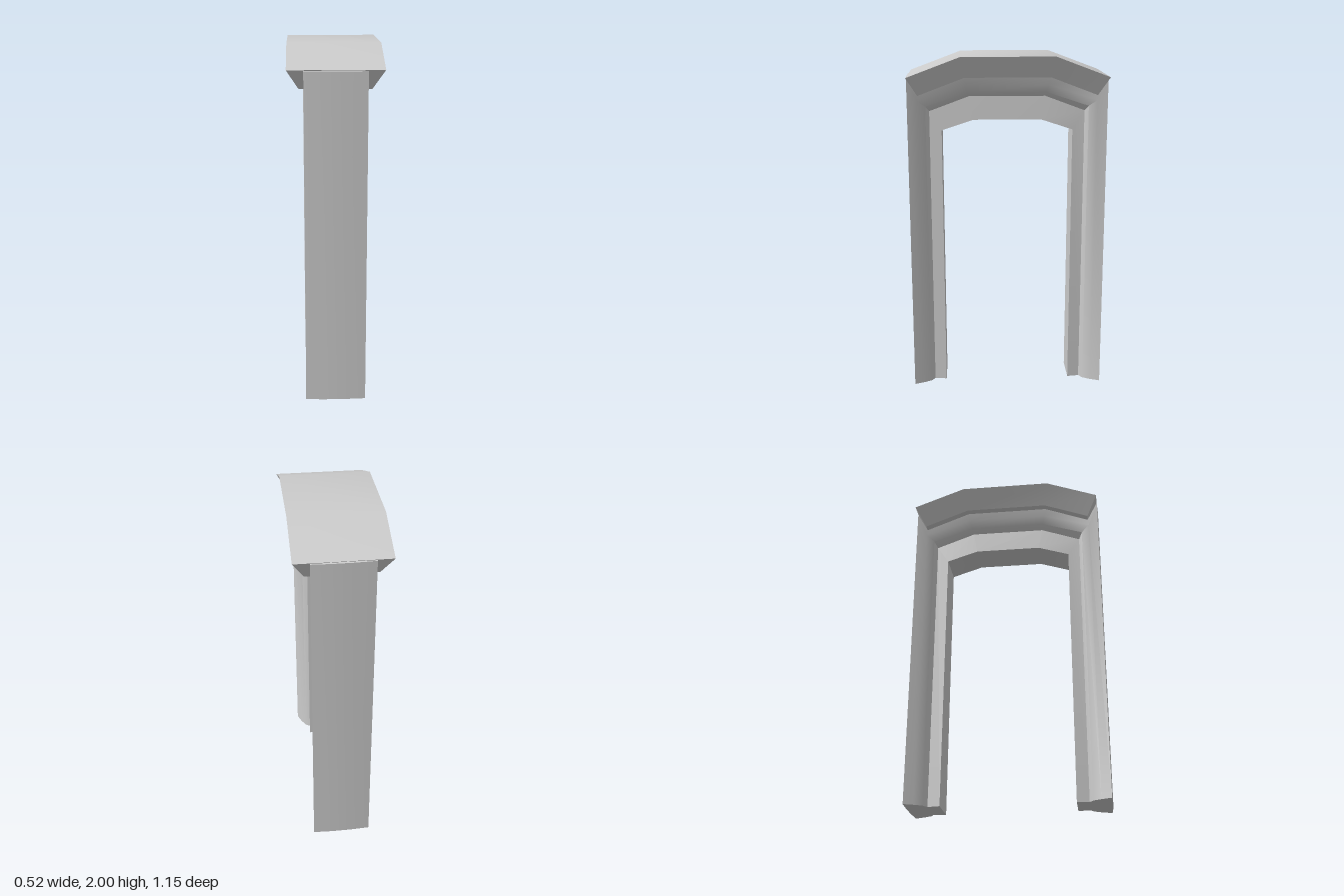
import * as THREE from 'three';
import { toCreasedNormals } from 'three/addons/utils/BufferGeometryUtils.js';

// Sweeps a section over the arch. Each row runs from the inside of the arch to
// its outside: [half width x, leg z, corner y, top z, top y].
function archSweep(rows, withLegs) {
  const ring = [...rows, ...rows.map((r) => [-r[0], ...r.slice(1)]).reverse()];
  const n = ring.length;
  const stations = [
    ([x, z, y]) => [x, y, z],
    ([x, , , z, y]) => [x, y, z],
    ([x, , , z, y]) => [x, y, -z],
    ([x, z, y]) => [x, y, -z],
  ];
  if (withLegs) {
    stations.unshift(([x, z]) => [x, 0, z]);
    stations.push(([x, z]) => [x, 0, -z]);
  }
  const pts = stations.map((place) => ring.map(place));
  const pos = [];
  const quad = (a, b, c, d) => pos.push(...a, ...b, ...c, ...a, ...c, ...d);

  // outer skin
  for (let i = 0; i < pts.length - 1; i++) {
    for (let j = 0; j < n; j++) {
      const k = (j + 1) % n;
      quad(pts[i][j], pts[i + 1][j], pts[i + 1][k], pts[i][k]);
    }
  }
  // closed ends
  const first = pts[0];
  const last = pts[pts.length - 1];
  for (let k = 0; k < n / 2 - 1; k++) {
    quad(first[k], first[k + 1], first[n - 2 - k], first[n - 1 - k]);
    quad(last[n - 1 - k], last[n - 2 - k], last[k + 1], last[k]);
  }

  const geometry = new THREE.BufferGeometry();
  geometry.setAttribute('position', new THREE.Float32BufferAttribute(pos, 3));
  return toCreasedNormals(geometry, 0.6);
}

export function createModel() {
  const group = new THREE.Group();
  group.name = 'archway';
  const stone = new THREE.MeshStandardMaterial({ color: 0xcccccc });
  stone.name = 'grey stone';

  const add = (name, geometry) => {
    const mesh = new THREE.Mesh(geometry, stone);
    mesh.name = name;
    group.add(mesh);
  };

  // legs and arch: inner band, rounded moulding, slightly crowned outer face
  add('archFrame', archSweep([
    [0.10, 0.38, 1.57, 0.195, 1.63],
    [0.09, 0.45, 1.68, 0.22, 1.765],
    [0.122, 0.47, 1.71, 0.225, 1.79],
    [0.147, 0.515, 1.745, 0.235, 1.835],
    [0.17, 0.572, 1.88, 0.27, 1.985],
    [0.06, 0.577, 1.88, 0.27, 1.985],
  ], true));

  // wide cap with sides tapering inward to the underside
  add('capStone', archSweep([
    [0.195, 0.51, 1.78, 0.245, 1.88],
    [0.26, 0.57, 1.886, 0.265, 2],
  ], false));

  return group;
}
